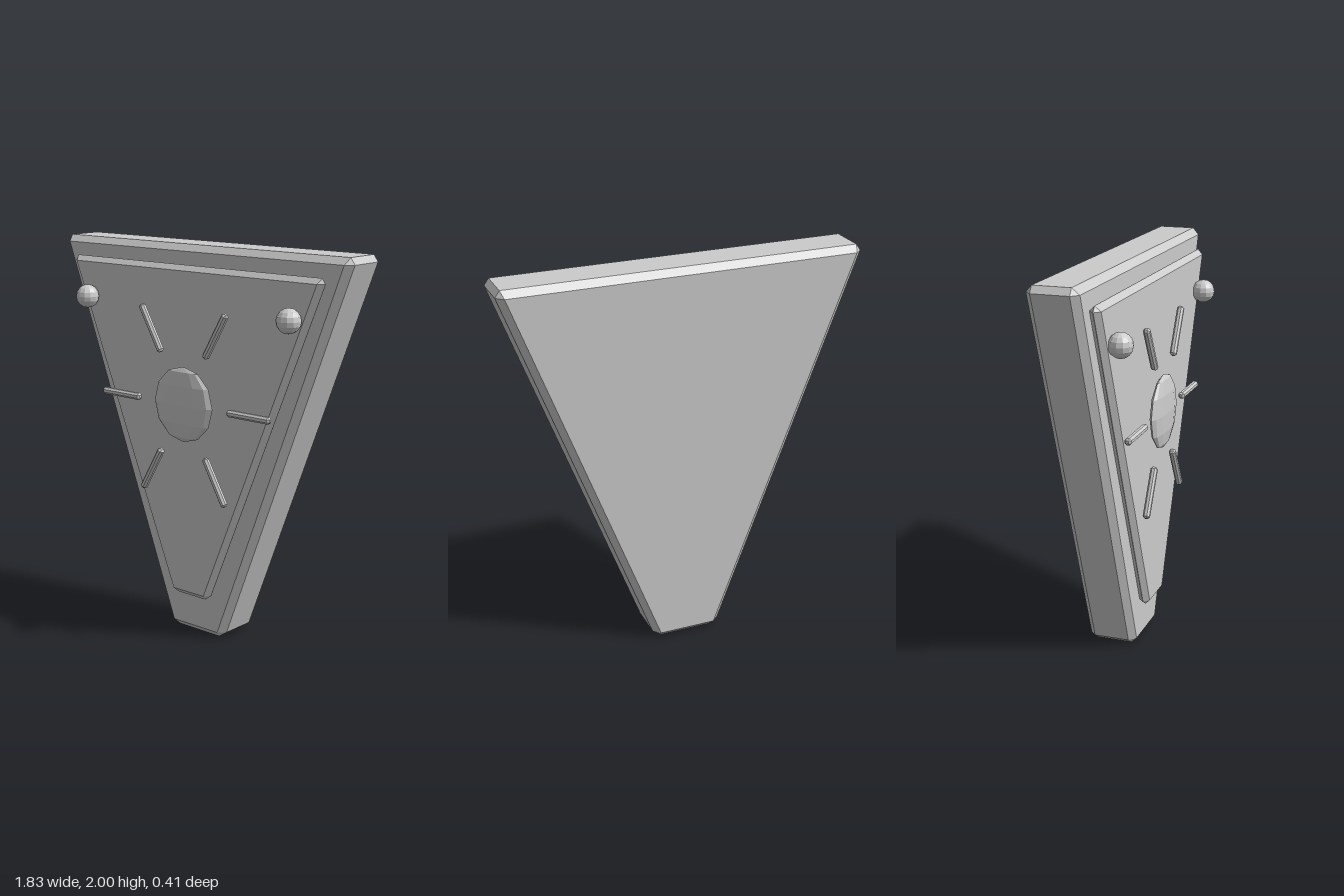
import * as THREE from 'three';
import { ConvexGeometry } from 'three/addons/geometries/ConvexGeometry.js';

const material = new THREE.MeshStandardMaterial({ color: 0xcccccc, flatShading: true });

// Tapered slab with every edge chamfered by c; top and bottom are half widths.
function chamferedSlab(top, bottom, y0, y1, z0, z1, c) {
  const slope = (top - bottom) / (y1 - y0);
  const inset = c * Math.hypot(1, slope);
  const sideX = (y) => bottom + slope * (y - y0);
  const points = [];
  for (const sx of [-1, 1]) {
    for (const [y, dir] of [[y0, 1], [y1, -1]]) {
      const yIn = y + dir * c;
      for (const [z, zIn] of [[z0, z0 + c], [z1, z1 - c]]) {
        points.push(
          new THREE.Vector3(sx * (sideX(yIn) - inset), yIn, z), // front or back face
          new THREE.Vector3(sx * (sideX(y) - inset), y, zIn), // top or bottom face
          new THREE.Vector3(sx * sideX(yIn), yIn, zIn) // side face
        );
      }
    }
  }
  return new ConvexGeometry(points);
}

export function createModel() {
  const model = new THREE.Group();
  const add = (name, geometry, x = 0, y = 0, z = 0) => {
    const mesh = new THREE.Mesh(geometry, material);
    mesh.name = name;
    mesh.position.set(x, y, z);
    model.add(mesh);
    return mesh;
  };

  // Thick tapered body and the raised panel on its front
  add('body', chamferedSlab(0.926, 0.171, 0, 2, -0.204, 0.045, 0.033));
  add('frontPanel', chamferedSlab(0.811, 0.119, 0.208, 1.905, 0.045, 0.1, 0.0265));

  // Flattened sun disc
  const sunY = 1.225;
  add('sunDisc', new THREE.SphereGeometry(0.19, 12, 6), 0, sunY, 0.135).scale.z = 0.18;

  // Six rays around the disc
  const ray = chamferedSlab(0.017, 0.017, 0.287, 0.547, -0.017, 0.017, 0.01);
  for (let i = 0; i < 6; i++) {
    add('sunRay' + (i + 1), ray, 0, sunY, 0.137).rotation.z = Math.PI / 6 + (i * Math.PI) / 3;
  }

  // Studs in the upper corners
  for (const [name, side] of [['leftStud', 1], ['rightStud', -1]]) {
    add(name, new THREE.SphereGeometry(0.06, 12, 8), side * 0.65, 1.707, 0.144);
  }
  return model;
}
